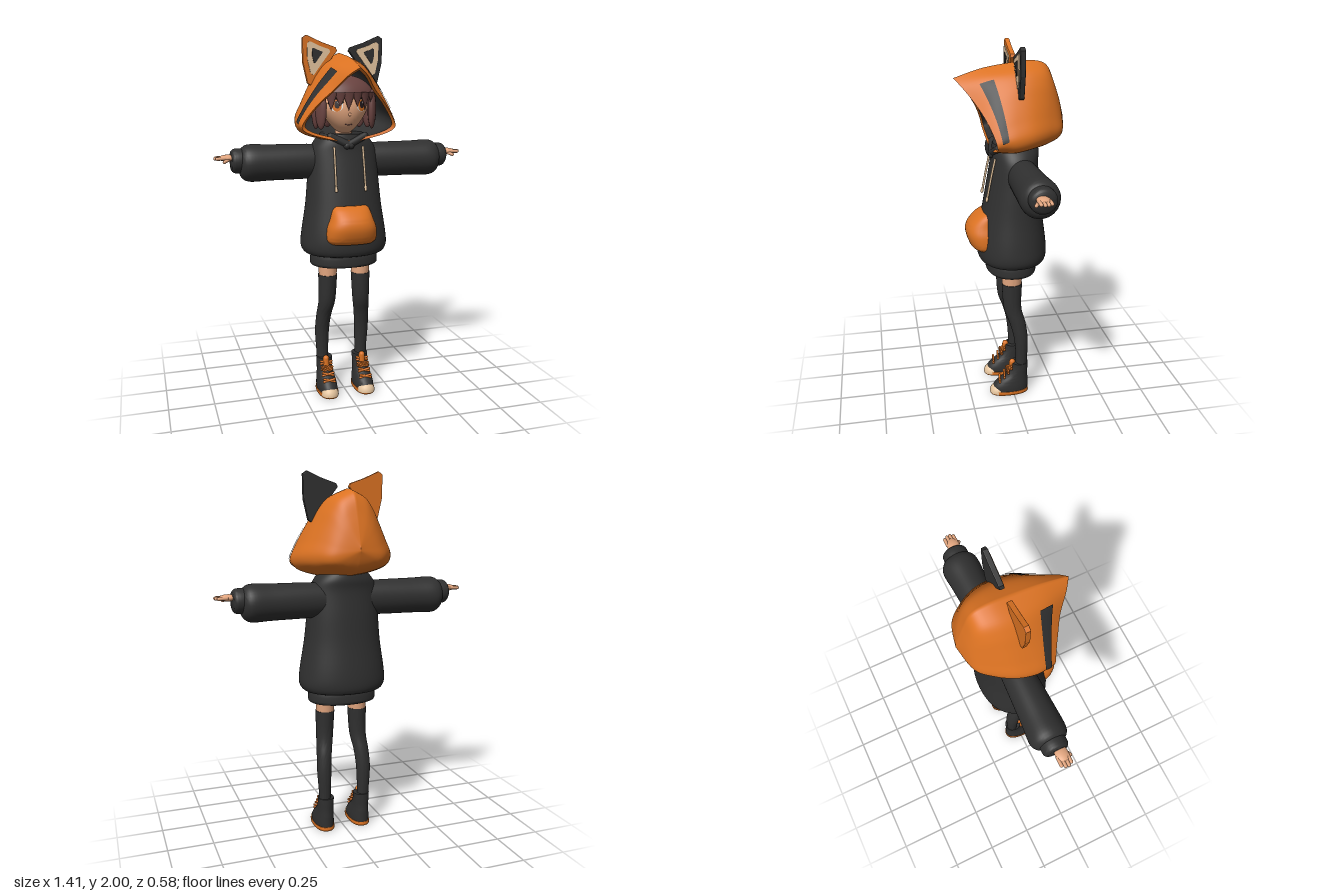
import * as THREE from 'three';
import { toCreasedNormals, mergeVertices } from 'three/addons/utils/BufferGeometryUtils.js';

const material = (name, color, side = THREE.FrontSide) => {
  const m = new THREE.MeshStandardMaterial({ color, side });
  m.name = name;
  return m;
};

// Smooth interpolation between the rows of a small table
function sample(rows, u) {
  const n = rows.length - 1, i = Math.min(Math.floor(u), n - 1), t = u - i;
  const [a, b, c, d] = [i - 1, i, i + 1, i + 2].map(k => rows[Math.max(0, Math.min(n, k))]);
  return b.map((_, k) => 0.5 * (2 * b[k] + (c[k] - a[k]) * t
    + (2 * a[k] - 5 * b[k] + 4 * c[k] - d[k]) * t * t + (3 * b[k] - a[k] - 3 * c[k] + d[k]) * t * t * t));
}

// Surface from a function of u and v, both 0..1
function surface(fn, nu, nv, flip = false) {
  const pos = [], idx = [];
  for (let i = 0; i <= nu; i++) for (let j = 0; j <= nv; j++) pos.push(...fn(i / nu, j / nv));
  for (let i = 0; i < nu; i++) for (let j = 0; j < nv; j++) {
    const a = i * (nv + 1) + j, b = a + nv + 1;
    if (flip) idx.push(a, a + 1, b, b, a + 1, b + 1);
    else idx.push(a, b, a + 1, b, b + 1, a + 1);
  }
  let g = new THREE.BufferGeometry();
  g.setAttribute('position', new THREE.Float32BufferAttribute(pos, 3));
  g.setIndex(idx);
  g = mergeVertices(g, 1e-5);
  g.computeVertexNormals();
  return g;
}

// Closed body through oval rings, bottom to top: [x, y, z, halfWidth, halfDepth]
function rings(rows, power = 2, nv = 36) {
  const n = (rows.length - 1) * 5 + 2;
  const bend = c => Math.sign(c) * Math.abs(c) ** (2 / power);
  const g = surface((u, v) => {
    const k = Math.round(u * n), a = v * Math.PI * 2;
    const [x, y, z, rx, rz] = sample(rows, Math.max(0, Math.min(n - 2, k - 1)) / 5);
    const open = k === 0 || k === n ? 0 : 1;
    return [x + open * rx * bend(Math.cos(a)), y, z + open * rz * bend(Math.sin(a))];
  }, n, nv);
  return toCreasedNormals(g, 1);
}

// Hood sections, rim to back: [topY, topZ, bottomY, bottomZ, halfWidth, blend]
const HOOD = [
  [1.83, 0.29, 1.44, 0.1, 0.255, 0], [1.875, 0.15, 1.44, 0.06, 0.268, 0.6], [1.9, 0, 1.44, 0, 0.27, 1],
  [1.91, -0.12, 1.455, -0.09, 0.25, 1], [1.88, -0.2, 1.475, -0.18, 0.2, 1],
  [1.77, -0.245, 1.515, -0.255, 0.13, 1], [1.62, -0.29, 1.6, -0.29, 0.001, 1]];
// Half arch, apex to bottom: [rimX, rimY, crownX, crownY]
const ARCH = [
  [0, 1, 0, 1], [0.2, 0.9, 0.33, 0.91], [0.43, 0.72, 0.53, 0.78], [0.7, 0.54, 0.69, 0.62], [0.95, 0.32, 0.86, 0.43],
  [1, 0.2, 1, 0.25], [0.8, 0.12, 0.9, 0.12], [0.4, 0.05, 0.5, 0.04], [0, 0, 0, 0]];
function hoodPoint(u, s, scale = 1) {
  const [ty, tz, by, bz, w, k] = sample(HOOD, u), [rx, ry, cx, cy] = sample(ARCH, Math.abs(s));
  const x = rx + (cx - rx) * k, y = ry + (cy - ry) * k;
  const p = [Math.sign(s) * x * w, by + (ty - by) * y, bz + (tz - bz) * y * y];
  return [p[0] * scale, 1.64 + (p[1] - 1.64) * scale, p[2] * scale];
}

// Face ellipsoid narrowing to the chin
const FACE = { y: 1.62, rx: 0.13, ry: 0.14, rz: 0.115 };
const taper = n => 1 + 0.4 * Math.min(n, 0);
const faceZ = (x, y) => {
  const n = (y - FACE.y) / FACE.ry;
  return FACE.rz * Math.sqrt(Math.max(0, 1 - n * n - (x / (FACE.rx * taper(n))) ** 2));
};

export function createModel() {
  const root = new THREE.Group();
  const orange = material('orange', 0xdb7222), black = material('charcoal', 0x303030);
  const skin = material('skin', 0xe3a67f), cream = material('cream', 0xe4c49e);
  const brown = material('hair brown', 0x6b4441, THREE.DoubleSide);
  const dark = material('eye dark', 0x241a1c), white = material('eye white', 0xf4efea);
  const add = (name, geo, mat, parent = root) => {
    const m = new THREE.Mesh(geo, mat);
    m.name = name;
    parent.add(m);
    return m;
  };
  const ball = (x, y, z, rx, ry, rz) => new THREE.SphereGeometry(1, 24, 16).scale(rx, ry, rz).translate(x, y, z);
  const path = (pts, r) => new THREE.TubeGeometry(
    new THREE.CatmullRomCurve3(pts.map(p => new THREE.Vector3(...p))), 16, r, 8);
  const rod = (a, b, r) => {
    const A = new THREE.Vector3(...a), B = new THREE.Vector3(...b), d = B.clone().sub(A);
    const q = new THREE.Quaternion().setFromUnitVectors(new THREE.Vector3(0, 1, 0), d.clone().normalize());
    return new THREE.CapsuleGeometry(r, d.length(), 4, 10).applyQuaternion(q).translate(...A.add(B).multiplyScalar(0.5).toArray());
  };

  // Hood: shell, lining, rim and side stripes
  add('hoodShell', surface((u, v) => hoodPoint(u * 6, v * 16 - 8), 42, 96, true), orange);
  add('hoodLining', surface((u, v) => hoodPoint(u * 6, v * 16 - 8, 0.93), 42, 96), black);
  add('hoodRim', surface((u, v) => hoodPoint(0, v * 16 - 8, 1 - 0.07 * u), 1, 96), orange);
  for (const s of [1, -1]) {
    const from = s > 0 ? 1.25 : -4.85;
    add('hoodStripe', surface((u, v) => hoodPoint(0.72 + u * 0.55, from + v * 3.6, 1.022), 8, 24, true), black);
  }

  // Ears with layered inner patches
  const earPoints = [[0.2, 2], [0.222, 1.985], [0.22, 1.86], [0.195, 1.75], [0.17, 1.735], [0.1, 1.83], [0.032, 1.92], [0.04, 1.938], [0.12, 1.965]];
  for (const s of [1, -1]) {
    const ear = new THREE.Group();
    ear.name = s > 0 ? 'leftEar' : 'rightEar';
    root.add(ear);
    const layer = (name, size, depth, z, mat) => {
      const pts = earPoints.map(([x, y]) => new THREE.Vector2(s * (0.15 + (x - 0.15) * size), 1.905 + (y - 1.905) * size));
      const geo = new THREE.ExtrudeGeometry(new THREE.Shape(pts), {
        depth, bevelEnabled: size === 1, bevelSize: 0.004, bevelOffset: -0.004, bevelThickness: 0.004, bevelSegments: 2 });
      add(name, geo.translate(0, 0, z), mat, ear);
    };
    layer('earBase', 1, 0.018, -0.036, s > 0 ? black : orange);
    layer('earInner', 0.66, 0.005, -0.014, cream);
    layer('earCentre', 0.3, 0.004, -0.009, black);
  }

  // Head and neck
  const head = new THREE.SphereGeometry(1, 40, 28), hp = head.attributes.position;
  for (let i = 0; i < hp.count; i++) {
    hp.setXYZ(i, hp.getX(i) * FACE.rx * taper(hp.getY(i)), FACE.y + hp.getY(i) * FACE.ry, hp.getZ(i) * FACE.rz);
  }
  head.computeVertexNormals();
  add('head', head, skin);
  add('neck', new THREE.CylinderGeometry(0.045, 0.05, 0.14, 20).translate(0, 1.46, -0.01), skin);
  add('nose', ball(0, 1.59, 0.112, 0.007, 0.009, 0.008), skin);

  // Painted face details, wrapped on the face surface
  const patch = (name, x, y, rx, ry, lift, mat) => {
    const g = new THREE.CircleGeometry(1, 24).scale(rx, ry, 1).translate(x, y, 0), p = g.attributes.position;
    for (let i = 0; i < p.count; i++) p.setZ(i, faceZ(p.getX(i), p.getY(i)) + lift);
    g.computeVertexNormals();
    add(name, g, mat);
  };
  for (const s of [1, -1]) {
    patch('eyeWhite', s * 0.07, 1.637, 0.033, 0.032, 0.004, white);
    patch('iris', s * 0.068, 1.637, 0.023, 0.031, 0.007, orange);
    patch('pupil', s * 0.068, 1.642, 0.013, 0.02, 0.01, dark);
    patch('eyeGlint', s * 0.068 + 0.008, 1.653, 0.006, 0.007, 0.012, white);
    const lid = [[0.035, 1.65], [0.05, 1.668], [0.07, 1.674], [0.09, 1.666], [0.105, 1.645]];
    add('eyelash', path(lid.map(([x, y]) => [s * x, y, faceZ(x, y) + 0.005]), 0.005), dark);
  }
  add('mouth', path([-0.02, 0, 0.02].map(x => [x, 1.535 + Math.abs(x) * 0.15, faceZ(x, 1.535) + 0.001]), 0.0025), brown);

  // Hair: cap, pointed fringe, long locks round the sides and back
  add('hairCap', new THREE.SphereGeometry(1, 36, 18, 0, Math.PI * 2, 0, Math.PI * 0.45)
    .scale(0.172, 0.13, 0.132).translate(0, 1.665, -0.005), brown);
  [-55, -37, -19, -3, 14, 32, 52].forEach((deg, i) => {
    const a = deg * Math.PI / 180, len = 0.075 + (i % 2) * 0.02;
    add('fringeLock', new THREE.ConeGeometry(0.036, len, 12).rotateX(Math.PI).scale(1, 1, 0.4).rotateY(a)
      .translate(0.163 * Math.sin(a), 1.705 - len / 2, 0.122 * Math.cos(a)), brown);
  });
  for (let deg = 64; deg <= 296; deg += 23.2) {
    const a = deg * Math.PI / 180;
    add('longLock', new THREE.SphereGeometry(1, 16, 14).scale(0.04, 0.105, 0.022).rotateY(a)
      .translate(0.158 * Math.sin(a), 1.615, 0.122 * Math.cos(a)), brown);
  }

  // Hoodie body, hem, collar and pocket
  add('hoodieBody', rings([
    [0, 0.825, -0.01, 0.2, 0.16], [0, 0.837, -0.01, 0.225, 0.18], [0, 0.875, -0.01, 0.241, 0.19], [0, 0.95, -0.01, 0.235, 0.186],
    [0, 1.1, -0.013, 0.212, 0.163], [0, 1.25, -0.02, 0.198, 0.143], [0, 1.38, -0.025, 0.185, 0.125],
    [0, 1.44, -0.03, 0.16, 0.125], [0, 1.485, -0.03, 0.12, 0.118]], 2.2, 56), black);
  add('hem', rings([[0, 0.758, -0.006, 0.18, 0.13], [0, 0.768, -0.006, 0.19, 0.138], [0, 0.81, -0.006, 0.188, 0.137],
    [0, 0.835, -0.006, 0.18, 0.13]], 2.2, 48), black);
  add('pocket', rings([[0, 0.905, 0.13, 0.118, 0.07], [0, 0.93, 0.13, 0.138, 0.095], [0, 0.99, 0.13, 0.136, 0.114],
    [0, 1.04, 0.13, 0.118, 0.104], [0, 1.085, 0.12, 0.105, 0.075], [0, 1.108, 0.11, 0.09, 0.05]], 2.6, 40), orange);

  for (const s of [1, -1]) {
    add('collarFlap', rod([s * 0.095, 1.475, 0.075], [-s * 0.01, 1.425, 0.095], 0.02), black);
    add('drawstring', path([[s * 0.08, 1.42, 0.09], [s * 0.081, 1.32, 0.112], [s * 0.082, 1.19, 0.137]], 0.006), cream);
    add('drawstringTip', rod([s * 0.082, 1.205, 0.135], [s * 0.082, 1.19, 0.138], 0.008), cream);

    // Sleeve, cuff and hand
    const along = (rows, y) => rings(rows.map(([l, z, ry, rz]) => [0, l, z, ry, rz])).rotateZ(-s * Math.PI / 2).translate(0, y, 0);
    add('sleeve', along([[0.1, -0.045, 0.09, 0.08], [0.2, -0.045, 0.095, 0.085], [0.4, -0.047, 0.097, 0.095],
      [0.51, -0.05, 0.1, 0.1], [0.55, -0.05, 0.084, 0.084], [0.565, -0.05, 0.06, 0.06]], 1.333), black);
    add('cuff', along([[0.545, -0.048, 0.062, 0.066], [0.56, -0.048, 0.066, 0.069], [0.595, -0.048, 0.064, 0.067],
      [0.61, -0.048, 0.05, 0.054]], 1.347), black);
    add('palm', ball(s * 0.63, 1.365, -0.037, 0.046, 0.018, 0.034), skin);
    for (let f = 0; f < 4; f++) {
      const z = -0.064 + f * 0.017, reach = [0.682, 0.692, 0.694, 0.685][f];
      add('finger', rod([s * 0.64, 1.366, z], [s * reach, 1.364, z], 0.0095), skin);
    }
    add('thumb', rod([s * 0.62, 1.36, -0.018], [s * 0.65, 1.348, 0.002], 0.009), skin);

    // Leg: bare thigh band above a long stocking
    add('thigh', rings([[s * 0.095, 0.695, 0.003, 0.05, 0.054], [s * 0.095, 0.8, 0, 0.053, 0.058]]), skin);
    add('stocking', rings([[s * 0.116, 0.15, -0.045, 0.034, 0.034], [s * 0.116, 0.22, -0.05, 0.034, 0.033],
      [s * 0.118, 0.35, -0.046, 0.04, 0.039], [s * 0.112, 0.45, -0.028, 0.042, 0.045],
      [s * 0.1, 0.55, 0, 0.047, 0.05], [s * 0.096, 0.7, 0.003, 0.053, 0.057]]), black);

    // High-top shoe
    const x = s * 0.108;
    add('sole', rings([[x, 0, 0.022, 0.054, 0.108], [x, 0.006, 0.022, 0.058, 0.113], [x, 0.024, 0.022, 0.057, 0.111]], 2.4), orange);
    add('shoeUpper', rings([[x, 0.02, 0.018, 0.055, 0.106], [x, 0.05, 0.014, 0.055, 0.102], [x, 0.085, -0.002, 0.05, 0.086],
      [x, 0.12, -0.024, 0.045, 0.062], [x, 0.16, -0.038, 0.044, 0.049], [x, 0.195, -0.041, 0.045, 0.047]], 2.2), black);
    add('toeCap', new THREE.SphereGeometry(1, 24, 10, 0, Math.PI * 2, 0, Math.PI / 2)
      .scale(0.05, 0.05, 0.05).translate(x, 0.01, 0.087), cream);
    add('tongue', rod([x, 0.15, 0.006], [x, 0.195, 0.003], 0.018), orange);
    for (let i = 0; i < 4; i++) {
      const y = 0.09 + i * 0.027, z = [0.088, 0.06, 0.036, 0.018][i];
      for (const d of [1, -1]) add('lace', rod([x - 0.03, y - d * 0.008, z - 0.014], [x + 0.03, y + d * 0.008, z - 0.006], 0.0065), orange);
    }
    for (const d of [1, -1]) {
      add('laceBow', new THREE.TorusGeometry(0.014, 0.005, 8, 16).translate(x + d * 0.015, 0.145, 0.034), orange);
    }
  }
  return root;
}
